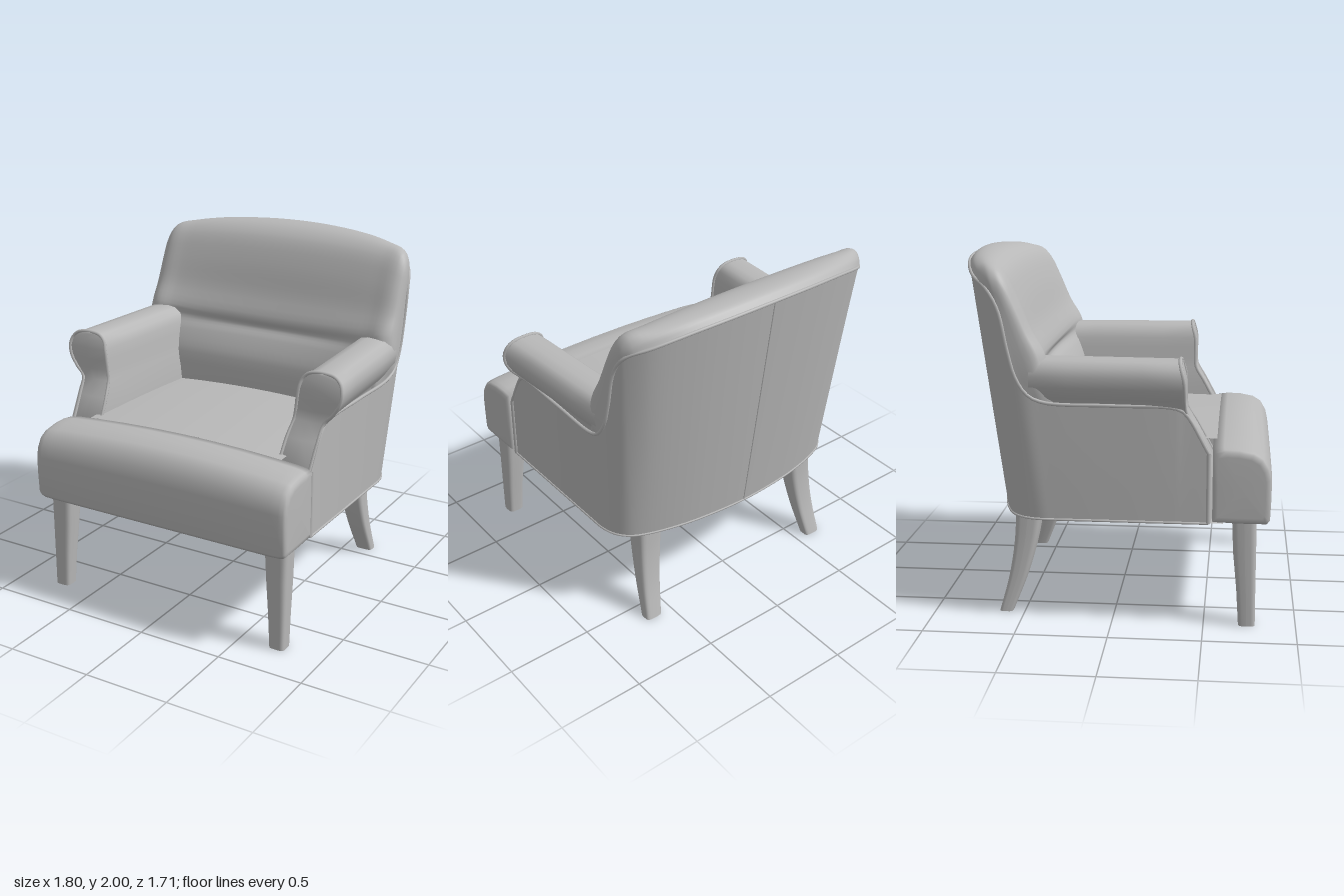
import * as THREE from 'three';

const fabric = new THREE.MeshStandardMaterial({ color: 0xb8b8b8, side: THREE.DoubleSide });
fabric.name = 'grey';

const vec = (p) => new THREE.Vector3(...p);
const lerp = THREE.MathUtils.lerp;

// Smooth a list of points; the number of samples per span is fixed
const smooth = (pts, per) =>
  new THREE.CatmullRomCurve3(pts.map(vec)).getPoints((pts.length - 1) * per).map((p) => p.toArray());

// Surface through equally long rows of points
function grid(rows) {
  const n = rows[0].length;
  const index = [];
  for (let i = 0; i < rows.length - 1; i++)
    for (let j = 0; j < n - 1; j++) {
      const a = i * n + j, b = a + n;
      index.push(a, b, a + 1, b, b + 1, a + 1);
    }
  const g = new THREE.BufferGeometry();
  g.setAttribute('position', new THREE.Float32BufferAttribute(rows.flat(2), 3));
  g.setIndex(index);
  g.computeVertexNormals();
  return g;
}

// Mirror a half list of items, running from the centre outward, to both sides
const flip = ([x, y, z]) => [-x, y, z];
const bothSides = (half, mirror) => [...half.slice(1).reverse().map(mirror), ...half];

export function createModel() {
  const chair = new THREE.Group();
  chair.name = 'armchair';
  const add = (geometry, name) => {
    const m = new THREE.Mesh(geometry, fabric);
    m.name = name;
    chair.add(m);
    return m;
  };
  const addPair = (geometry, name) => {
    add(geometry, name + 'Left');
    const g = geometry.clone().scale(-1, 1, 1);
    const idx = g.index.array;
    for (let i = 0; i < idx.length; i += 3) [idx[i], idx[i + 1]] = [idx[i + 1], idx[i]];
    add(g, name + 'Right');
  };
  const piping = (pts, r) =>
    new THREE.TubeGeometry(new THREE.CatmullRomCurve3(pts.map(vec)), pts.length * 5, r, 6);

  // Outer shell: bottom x, bottom z, then seam x, y, z, from back centre to arm front
  const shell = [
    [0, -0.67, 0, 1.955, -0.85], [0.2, -0.66, 0.25, 1.948, -0.84], [0.4, -0.635, 0.48, 1.925, -0.805],
    [0.6, -0.585, 0.70, 1.875, -0.735], [0.70, -0.54, 0.80, 1.82, -0.65], [0.75, -0.49, 0.825, 1.72, -0.59],
    [0.775, -0.44, 0.83, 1.5, -0.54], [0.785, -0.40, 0.83, 1.36, -0.50], [0.79, -0.36, 0.83, 1.27, -0.44],
    [0.79, -0.30, 0.825, 1.23, -0.36], [0.79, 0, 0.81, 1.215, 0], [0.79, 0.34, 0.80, 1.205, 0.34],
    [0.79, 0.39, 0.795, 1.18, 0.39], [0.79, 0.52, 0.79, 0.96, 0.52],
  ];
  const hem = bothSides(shell.map(([x, z]) => [x, 0.58, z]), flip);
  const seam = bothSides(shell.map(([, , x, y, z]) => [x, y, z]), flip);
  const low = smooth(hem, 5), high = smooth(seam, 5);
  add(grid([0, 0.25, 0.5, 0.75, 1].map((t) =>
    low.map((p, i) => p.map((v, k) => lerp(v, high[i][k], t))))), 'outerShell');
  add(piping(seam, 0.01), 'seamPiping');
  add(piping(hem, 0.007), 'hemPiping');
  add(piping([[0, 0.58, -0.672], [0, 1.955, -0.852]], 0.004), 'backSeam');

  // Underside
  const under = new THREE.Shape([...low.map(([x, , z]) => new THREE.Vector2(x, z)),
    new THREE.Vector2(0.79, 0.6), new THREE.Vector2(-0.79, 0.6)]);
  add(new THREE.ShapeGeometry(under).rotateX(Math.PI / 2).translate(0, 0.582, 0), 'underside');

  // Padded back: profiles from rear seam over the top and down the front
  const centre = [
    [1.955, -0.85], [1.992, -0.81], [2.0, -0.74], [1.98, -0.655], [1.92, -0.58], [1.78, -0.51],
    [1.6, -0.45], [1.45, -0.39], [1.40, -0.41], [1.34, -0.37], [1.2, -0.31], [0.96, -0.31],
  ];
  const wing = [
    [1.85, -0.69], [1.89, -0.68], [1.925, -0.65], [1.92, -0.6], [1.87, -0.55], [1.75, -0.49],
    [1.6, -0.425], [1.49, -0.36], [1.42, -0.34], [1.33, -0.31], [1.2, -0.29], [0.96, -0.29],
  ];
  const edge = [
    [0.80, 1.82, -0.65], [0.805, 1.84, -0.645], [0.81, 1.865, -0.63], [0.815, 1.86, -0.595],
    [0.82, 1.82, -0.56], [0.822, 1.73, -0.515], [0.825, 1.58, -0.45], [0.83, 1.48, -0.40],
    [0.835, 1.40, -0.38], [0.83, 1.32, -0.37], [0.80, 1.2, -0.35], [0.77, 0.96, -0.33],
  ];
  const side = [
    [0.80, 1.82, -0.65], [0.812, 1.78, -0.62], [0.82, 1.75, -0.605], [0.825, 1.72, -0.59],
    [0.826, 1.68, -0.58], [0.828, 1.62, -0.565], [0.83, 1.5, -0.54], [0.83, 1.40, -0.515],
    [0.83, 1.32, -0.48], [0.83, 1.26, -0.43], [0.81, 1.2, -0.40], [0.77, 0.96, -0.36],
  ];
  const halfPad = [[0, 0], [0.25, 0.07], [0.5, 0.3], [0.66, 0.62], [0.77, 1]].map(([x, w]) =>
    centre.map(([y, z], i) => [x, lerp(y, wing[i][0], w), lerp(z, wing[i][1], w)]));
  halfPad.push(edge, side);
  const padCols = bothSides(halfPad, (c) => c.map(flip)).map((c) => smooth(c, 4));
  add(grid(padCols[0].map((_, i) => smooth(padCols.map((c) => c[i]), 4))), 'backPad');

  // Arms: y, inner x, outer x; the front leans forward below the scroll
  const armRows = [
    [0.585, 0.58, 0.775], [0.95, 0.59, 0.78], [1.1, 0.60, 0.785], [1.19, 0.615, 0.795],
    [1.25, 0.622, 0.845], [1.31, 0.628, 0.88], [1.37, 0.636, 0.89], [1.42, 0.652, 0.875],
    [1.45, 0.685, 0.84], [1.46, 0.73, 0.79],
  ];
  const armFront = (y) => (y > 1.2 ? 0.39 - Math.max(0, y - 1.36) * 0.25 : Math.min(0.53, 0.39 + (1.2 - y) * 0.58));
  const outline = [...armRows.map(([y, a]) => [a, y]), ...armRows.map(([y, , b]) => [b, y]).reverse()];
  const armBack = -0.43;
  addPair(grid([0, 0.25, 0.5, 0.75, 1].map((t) =>
    outline.map(([x, y]) => [x - 0.045 * t, y, lerp(armFront(y), armBack, t)]))), 'arm');
  addPair(grid(armRows.map(([y, a, b]) => [0, 0.5, 1].map((t) =>
    [lerp(a, b, t), y, armFront(y) + 0.012 * Math.sin(Math.PI * t)]))), 'armFront');
  addPair(piping(outline.filter(([, y]) => y > 0.9).map(([x, y]) => [x, y, armFront(y)]), 0.01), 'armPiping');
  addPair(piping([[0.79, 0.58, 0.52], [0.79, 0.96, 0.52]], 0.012), 'frontEdgePiping');

  // Front seat roll: closed z, y profile swept across, with rounded ends
  const crown = (x) => 0.04 * (1 - (x / 0.81) ** 2);
  const rollProfile = [
    [0.54, 0.585], [0.70, 0.58], [0.835, 0.58], [0.85, 0.6], [0.855, 0.72], [0.855, 0.83], [0.842, 0.89],
    [0.81, 0.945], [0.76, 0.975], [0.68, 0.99], [0.6, 0.993], [0.54, 0.985], [0.54, 0.8], [0.54, 0.585],
  ];
  const rollHalf = [[0, 1], [0.2, 1], [0.4, 1], [0.6, 1], [0.72, 1], [0.77, 0.99], [0.795, 0.965], [0.808, 0.92], [0.812, 0.8], [0.812, 0]]
    .map(([x, s]) => rollProfile.map(([z, y]) =>
      [x, 0.78 + (y - 0.78) * s + crown(x) * Math.max(0, (y - 0.75) / 0.24) * s, 0.69 + (z - 0.69) * s]));
  add(grid(bothSides(rollHalf, (c) => c.map(flip))), 'frontSeatRoll');

  // Seat deck between the arms
  const deck = [];
  for (let i = 0; i <= 12; i++) {
    const z = lerp(0.56, -0.38, i / 12);
    deck.push(Array.from({ length: 17 }, (_, j) => {
      const x = lerp(-0.63, 0.63, j / 16);
      return [x, 0.994 + crown(x) + 0.008 * Math.sin(Math.PI * i / 12), z];
    }));
  }
  add(grid(deck), 'seatDeck');

  // Legs: rounded-square sections given as y, x, z, half width, half depth
  const leg = (sections) => grid(sections.map(([y, x, z, w, d]) =>
    Array.from({ length: 25 }, (_, i) => {
      const a = (i / 24) * Math.PI * 2, c = Math.cos(a), s = Math.sin(a);
      return [x + w * Math.sign(c) * Math.abs(c) ** 0.5, y, z + d * Math.sign(s) * Math.abs(s) ** 0.5];
    })));
  const foot = ([y, x, z, w, d]) => leg([[y, x, z, w, d], [y, x, z, 0, 0]]);
  const frontLeg = [[0, 0.727, 0.735, 0.047, 0.046], [0.2, 0.722, 0.728, 0.054, 0.052],
    [0.4, 0.715, 0.718, 0.063, 0.062], [0.59, 0.71, 0.713, 0.07, 0.066]];
  const backLeg = smooth([[0, 0.62, -0.605], [0.2, 0.595, -0.54], [0.4, 0.575, -0.497], [0.59, 0.562, -0.475]], 4)
    .map(([y, x, z]) => [y, x, z, 0.052 + 0.05 * y, 0.038 + 0.063 * y]);
  addPair(leg(frontLeg), 'frontLeg');
  addPair(foot(frontLeg[0]), 'frontFoot');
  addPair(leg(backLeg), 'backLeg');
  addPair(foot(backLeg[0]), 'backFoot');

  // Small mounting plates under the frame
  for (const z of [0.55, -0.35])
    addPair(new THREE.BoxGeometry(0.1, 0.014, 0.09).translate(0.5, 0.575, z), 'mountingPlate');

  return chair;
}
